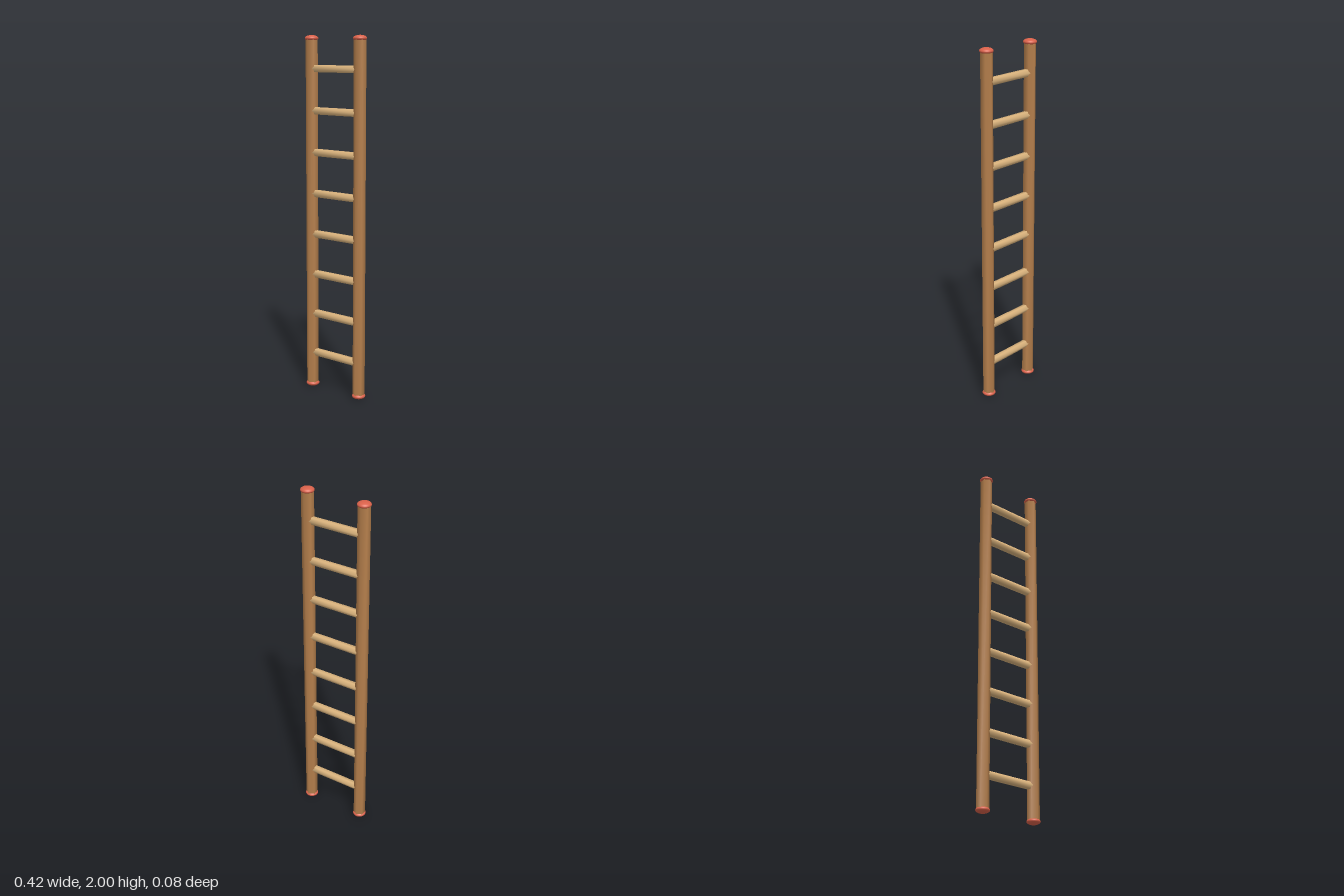
import * as THREE from 'three';
import { mergeVertices } from 'three/addons/utils/BufferGeometryUtils.js';

// Six-sided bar with normals shared across its sides and ends, for a soft carved look
function softBar(radius, length) {
  const g = new THREE.CylinderGeometry(radius, radius, length, 6);
  g.deleteAttribute('normal');
  g.deleteAttribute('uv');
  const merged = mergeVertices(g, 1e-5);
  merged.computeVertexNormals();
  return merged;
}

export function createModel() {
  const model = new THREE.Group();
  model.name = 'ladder';

  const railWood = new THREE.MeshStandardMaterial({ color: 0xb57f4c });
  railWood.name = 'railWood';
  const rungWood = new THREE.MeshStandardMaterial({ color: 0xd9b27c });
  rungWood.name = 'rungWood';
  const capRed = new THREE.MeshStandardMaterial({ color: 0xd9614a });
  capRed.name = 'capRed';

  const add = (name, geometry, material, x, y) => {
    const mesh = new THREE.Mesh(geometry, material);
    mesh.name = name;
    mesh.position.set(x, y, 0);
    model.add(mesh);
    return mesh;
  };

  const railX = 0.172;
  const capHalf = 0.017;
  const railGeo = softBar(0.034, 2 - 2 * capHalf);
  const capGeo = new THREE.SphereGeometry(0.0375, 32, 16).scale(1, capHalf / 0.0375, 1);

  // Side rails with flattened round caps at both ends
  for (const [side, s] of [['left', 1], ['right', -1]]) {
    add(`${side}Rail`, railGeo, railWood, s * railX, 1);
    add(`${side}TopCap`, capGeo, capRed, s * railX, 2 - capHalf);
    add(`${side}FootCap`, capGeo, capRed, s * railX, capHalf);
  }

  // Eight evenly spaced rungs
  const rungGeo = softBar(0.0225, 2 * railX).rotateZ(Math.PI / 2);
  for (let i = 0; i < 8; i++) {
    add(`rung${i + 1}`, rungGeo, rungWood, 0, 0.206 + i * 0.2305);
  }

  return model;
}
